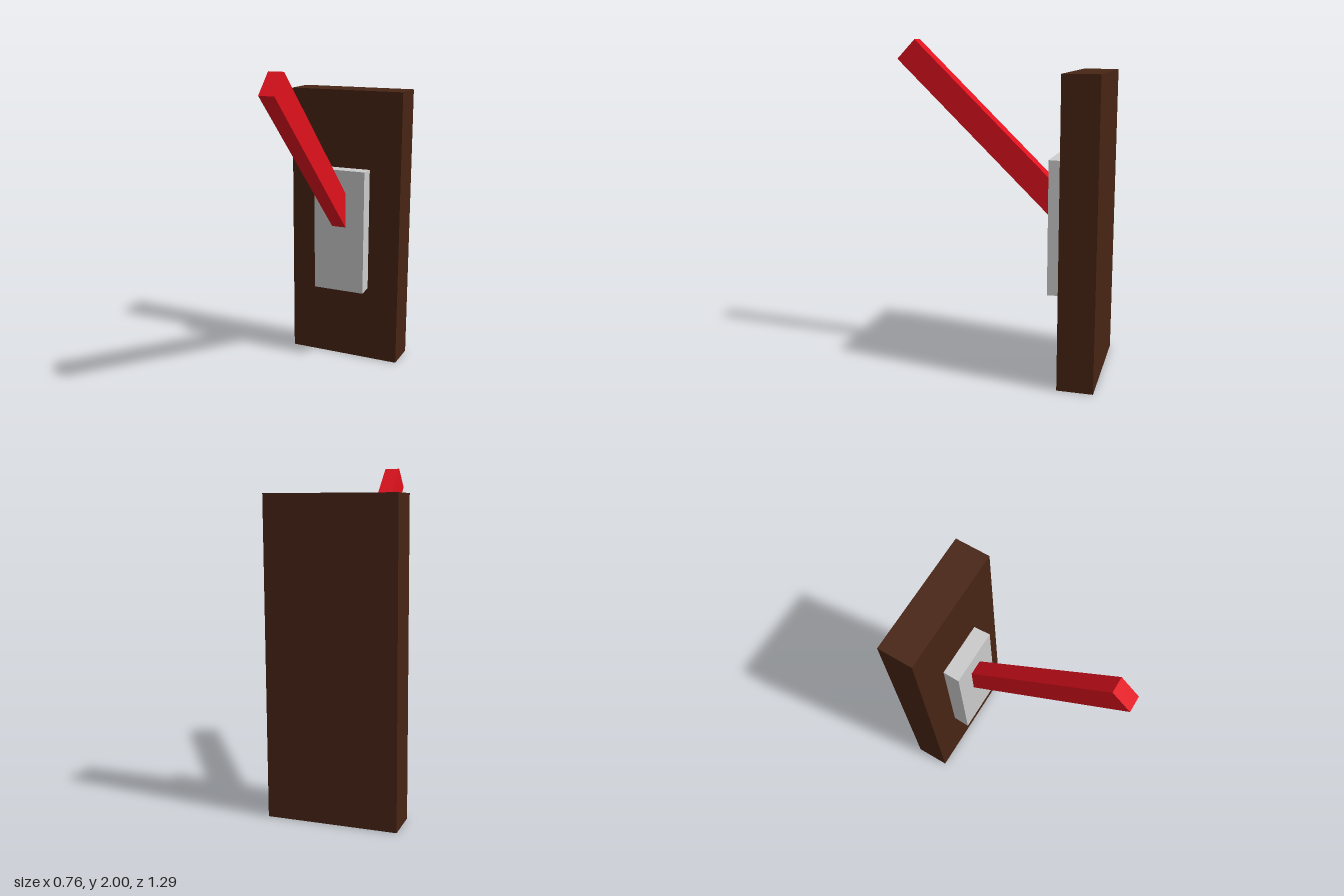
import * as THREE from 'three';

const BOARD_FRONT = -0.43;
const PLATE_FRONT = -0.325;

function addPart(group, name, geometry, color) {
  const material = new THREE.MeshStandardMaterial({ color, flatShading: true });
  const mesh = new THREE.Mesh(geometry, material);
  mesh.name = name;
  group.add(mesh);
  return mesh;
}

export function createModel() {
  const model = new THREE.Group();
  model.name = 'wallLever';

  // Upright wooden backing board
  const board = addPart(model, 'backBoard', new THREE.BoxGeometry(0.76, 1.82, 0.215), 0x482515);
  board.position.set(0, 0.91, BOARD_FRONT - 0.1075);

  // Mounting plate, flaring very slightly toward its front face
  const plateGeometry = new THREE.BoxGeometry(0.34, 0.81, PLATE_FRONT - BOARD_FRONT);
  const p = plateGeometry.attributes.position;
  for (let i = 0; i < p.count; i++) {
    if (p.getZ(i) > 0) {
      p.setX(i, p.getX(i) + Math.sign(p.getX(i)) * 0.003);
      p.setY(i, p.getY(i) + Math.sign(p.getY(i)) * 0.003);
    }
  }
  plateGeometry.computeVertexNormals();
  const plate = addPart(model, 'mountingPlate', plateGeometry, 0xcccccc);
  plate.position.set(0, 0.912, (BOARD_FRONT + PLATE_FRONT) / 2);

  // Square lever rising forward, its root sunk into the plate
  const length = 1.35;
  const angle = Math.atan2(0.94, 0.97);
  const lever = addPart(model, 'lever', new THREE.BoxGeometry(0.094, 0.162, length), 0xe0121e);
  lever.rotation.x = -angle;
  const tip = new THREE.Vector3(0, 1.942, 0.588);
  const direction = new THREE.Vector3(0, Math.sin(angle), Math.cos(angle));
  lever.position.copy(tip).addScaledVector(direction, -length / 2);

  return model;
}
